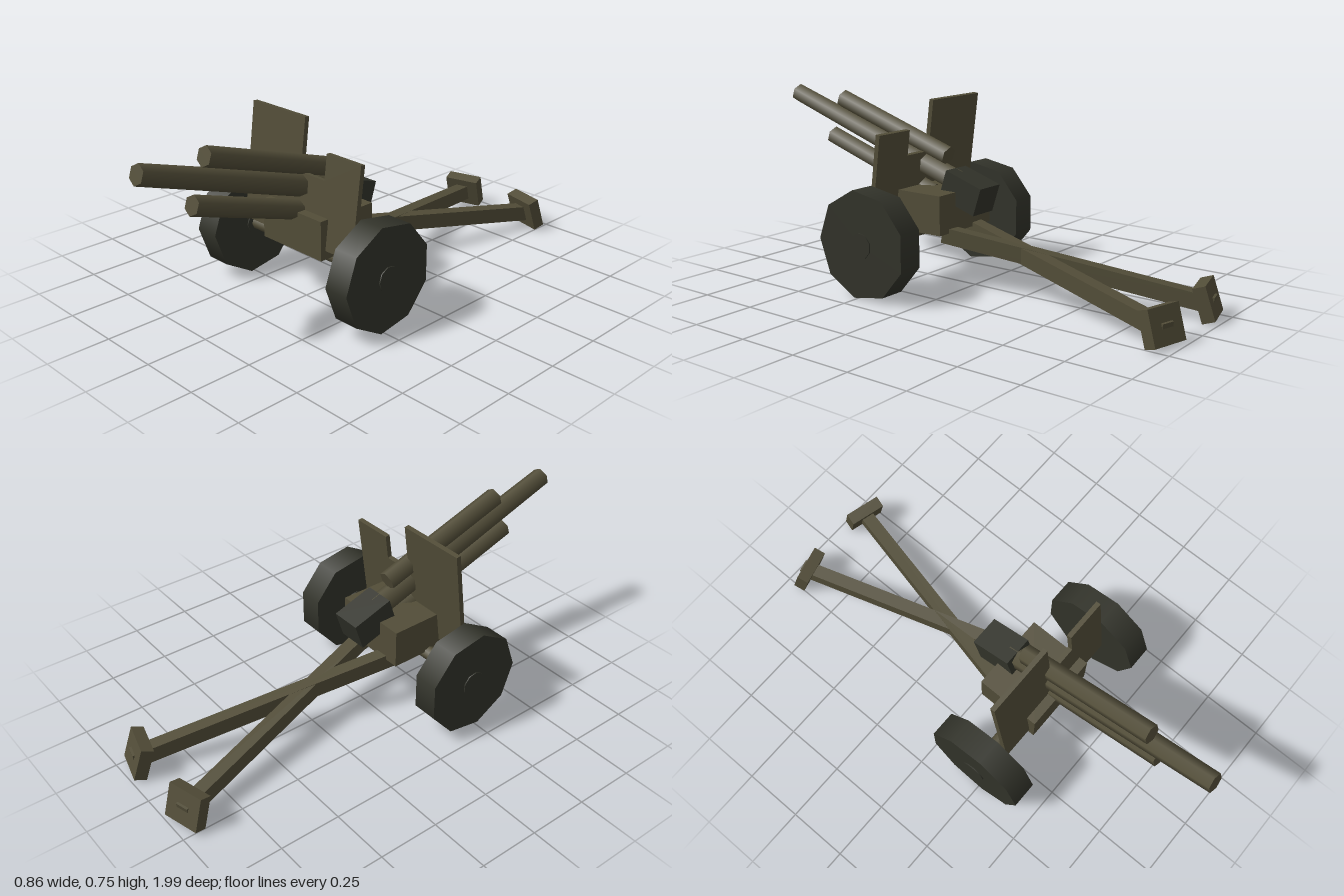
import * as THREE from 'three';

const material = (name, color) => {
  const m = new THREE.MeshStandardMaterial({ color });
  m.name = name;
  return m;
};
const rad = THREE.MathUtils.degToRad;

export function createModel() {
  const olive = material('olive paint', 0x524d38);
  const dark = material('dark green', 0x32332a);
  const model = new THREE.Group();
  model.name = 'fieldGun';

  const add = (parent, name, geometry, mat, x = 0, y = 0, z = 0) => {
    const mesh = new THREE.Mesh(geometry, mat);
    mesh.name = name;
    mesh.position.set(x, y, z);
    parent.add(mesh);
    return mesh;
  };
  const box = (w, h, d) => new THREE.BoxGeometry(w, h, d);

  // Elevated gun: origin at the muzzle, tubes run along local -z
  const gun = new THREE.Group();
  gun.name = 'gun';
  gun.position.set(0, 0.711, 0.987);
  gun.rotation.x = rad(-18);
  model.add(gun);
  const tube = (name, front, back, y, rFront, rBack) =>
    add(gun, name, new THREE.CylinderGeometry(rFront, rBack, front - back, 6).rotateX(Math.PI / 2),
      olive, 0, y, (front + back) / 2);
  tube('barrel', 0, -0.96, 0, 0.04, 0.048);
  tube('upperRecoilTube', -0.264, -0.87, 0.079, 0.04, 0.04);
  tube('lowerRecoilTube', -0.255, -0.85, -0.097, 0.04, 0.04);
  add(gun, 'breech', box(0.127, 0.118, 0.18), dark, 0, -0.012, -1.01);

  // Carriage block and axle
  add(model, 'carriage', box(0.326, 0.16, 0.27), olive, 0, 0.309, 0.185);
  add(model, 'axle', new THREE.CylinderGeometry(0.03, 0.03, 0.72, 8).rotateZ(Math.PI / 2),
    olive, 0, 0.217, 0.228);

  // Stepped shield, leaning back
  const outline = [[-0.303, 0], [0.303, 0], [0.303, 0.368], [0.125, 0.368],
    [0.125, 0.264], [-0.005, 0.264], [-0.005, 0.477], [-0.303, 0.477]];
  const shieldShape = new THREE.Shape(outline.map(([x, y]) => new THREE.Vector2(x, y)));
  const shieldGeometry = new THREE.ExtrudeGeometry(shieldShape, { depth: 0.02, bevelEnabled: false });
  shieldGeometry.translate(0, 0, -0.01);
  add(model, 'shield', shieldGeometry, olive, 0, 0.264, 0.288).rotation.x = rad(-7.4);

  for (const side of [-1, 1]) {
    const label = side > 0 ? 'left' : 'right';

    // Nine-sided wheel with a shallow hub
    const wheel = new THREE.Group();
    wheel.name = label + 'Wheel';
    wheel.position.set(side * 0.3715, 0.217, 0.228);
    model.add(wheel);
    const disc = (r, w) => new THREE.CylinderGeometry(r, r, w, 9).rotateZ(Math.PI / 2);
    add(wheel, 'tyre', disc(0.217, 0.107), dark);
    add(wheel, 'hub', disc(0.052, 0.116), dark);

    // Crossing trail leg with a tilted spade at its rear end
    const trail = new THREE.Group();
    trail.name = label + 'Trail';
    trail.position.set(side * 0.178, 0, -0.932);
    trail.rotation.y = side * rad(-14.5);
    model.add(trail);
    const length = 1.09, slope = rad(8.3);
    add(trail, 'trailLeg', box(0.055, 0.064, length), olive,
      0, 0.062 + Math.sin(slope) * length / 2, -0.025 + Math.cos(slope) * length / 2).rotation.x = -slope;
    add(trail, 'spade', box(0.155, 0.135, 0.05), olive, 0, 0.077, 0).rotation.x = rad(18);
  }
  return model;
}
